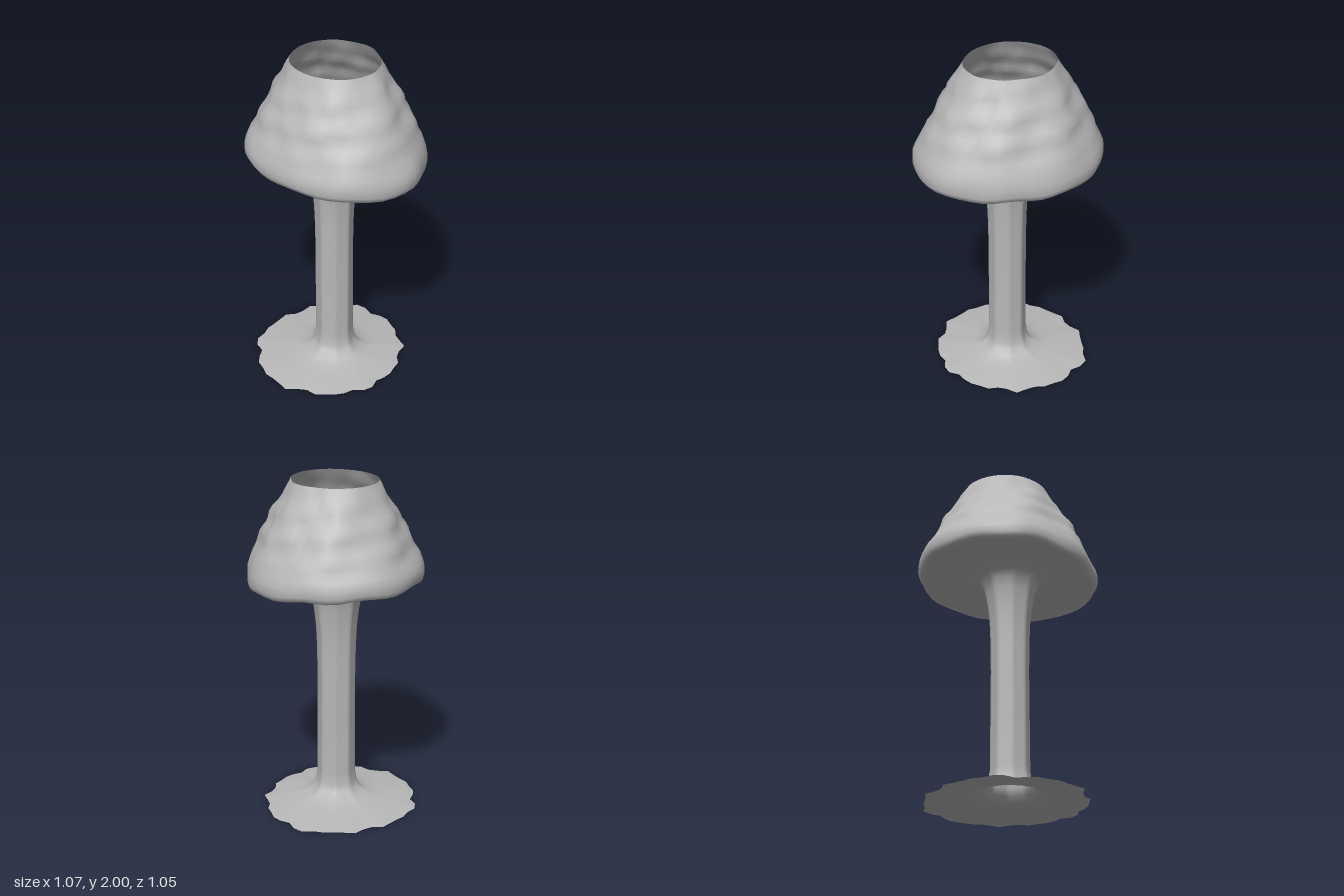
import * as THREE from 'three';

const SIDES = 48;

// Radii every 30 degrees, from +x towards +z
const RIM = [0.525, 0.585, 0.575, 0.525, 0.515, 0.535, 0.53, 0.545, 0.53, 0.52, 0.51, 0.49];
const OPENING = [0.25, 0.27, 0.275, 0.265, 0.265, 0.27, 0.27, 0.27, 0.26, 0.24, 0.24, 0.23];
const FOOT = [0.43, 0.44, 0.45, 0.455, 0.48, 0.46, 0.47, 0.45, 0.46, 0.48, 0.46, 0.44];

const STEM_X = -0.012;
const STEM_Z = 0.032;

// Smooth periodic lookup in a table of radii
function radiusAt(table, angle) {
  const f = (angle / (2 * Math.PI)) * table.length;
  const i = Math.floor(f) % table.length;
  const t = f - Math.floor(f);
  const s = t * t * (3 - 2 * t);
  return THREE.MathUtils.lerp(table[i], table[(i + 1) % table.length], s);
}

// Factor that turns a circle into an octagon with flats facing x and z
function octagon(angle) {
  const step = Math.PI / 4;
  const a = ((angle + step / 2) % step) - step / 2;
  return 1 / Math.cos(a);
}

// Skin closed rings of points, each given by pointAt(ring, angle)
function loft(rings, pointAt) {
  const positions = [];
  const index = [];
  rings.forEach((ring, i) => {
    for (let j = 0; j < SIDES; j++) {
      positions.push(...pointAt(ring, (j / SIDES) * 2 * Math.PI));
      if (i === rings.length - 1) continue;
      const a = i * SIDES + j;
      const b = i * SIDES + ((j + 1) % SIDES);
      index.push(a, a + SIDES, b, b, a + SIDES, b + SIDES);
    }
  });
  const geometry = new THREE.BufferGeometry();
  geometry.setAttribute('position', new THREE.Float32BufferAttribute(positions, 3));
  geometry.setIndex(index);
  geometry.computeVertexNormals();
  return geometry;
}

// Point on the shade: w = 0 at the top opening, 1 at the widest rim
function shadePoint([y, w], angle) {
  const c = Math.cos(angle);
  const s = Math.sin(angle);
  const fade = w * (1 - w) * 4;
  const bumps = 0.009 * Math.sin(7 * angle + 9 * y) + 0.007 * Math.sin(13 * angle - 25 * y)
    + 0.006 * Math.sin(46 * y + 2 * angle);
  const r = THREE.MathUtils.lerp(radiusAt(OPENING, angle), radiusAt(RIM, angle), w) + bumps * fade;
  const droop = 1 - THREE.MathUtils.smoothstep(y, 1.4, 1.65);
  const ripple = 0.007 * Math.sin(9 * angle + 1);
  return [r * c, y - (0.026 * c + ripple) * droop, r * s];
}

// Point on the foot, stem and flare; 'foot' blends to the ragged outline
function standPoint([y, r, foot = 0], angle) {
  const ragged = 0.012 * Math.sin(11 * angle) + 0.011 * Math.sin(17 * angle + 2);
  const edge = radiusAt(FOOT, angle) + ragged;
  const stem = r * THREE.MathUtils.lerp(octagon(angle), 1, foot);
  const radius = THREE.MathUtils.lerp(stem, edge, foot);
  const x = STEM_X - 0.022 * foot;
  return [x + radius * Math.cos(angle), y, STEM_Z - 0.01 * foot + radius * Math.sin(angle)];
}

export function createModel() {
  const model = new THREE.Group();
  model.name = 'tableLamp';
  const grey = new THREE.MeshStandardMaterial({ color: 0xb8b8b8, side: THREE.DoubleSide });
  grey.name = 'grey';

  function add(name, geometry) {
    const mesh = new THREE.Mesh(geometry, grey);
    mesh.name = name;
    model.add(mesh);
  }

  // Thin ragged foot, hollow stem and flared neck in one skin: [height, radius, foot blend]
  const stand = [
    [0.002, 0.14, 1], [0.014, 0.14, 0.78], [0.025, 0.14, 0.5], [0.038, 0.14, 0.25],
    [0.06, 0.145, 0.06], [0.09, 0.128], [0.13, 0.115], [0.2, 0.106], [0.5, 0.105],
    [0.8, 0.104], [1.0, 0.107], [1.12, 0.112], [1.22, 0.122], [1.3, 0.135],
    [1.36, 0.152], [1.395, 0.178],
  ];

  // Nearly flat underside runs from the neck out to the bottom edge of the shade
  const bottomEdge = [1.405, 0.86];
  const neck = stand[stand.length - 1];
  const underside = [0.2, 0.5, 0.8, 1].map((t) => ({ t }));
  add('standAndUnderside', loft([...stand, ...underside], (ring, angle) => {
    if (Array.isArray(ring)) return standPoint(ring, angle);
    const inner = standPoint(neck, angle);
    const outer = shadePoint(bottomEdge, angle);
    const p = inner.map((v, k) => THREE.MathUtils.lerp(v, outer[k], ring.t));
    p[1] += 0.02 * Math.sin(Math.PI * ring.t);
    return p;
  }));

  // Lumpy shade with a rounded rim and an open top: [height, width blend]
  const shade = [bottomEdge, [1.412, 0.95], [1.44, 1], [1.49, 0.99], [1.53, 0.93], [1.57, 0.86]];
  const slope = [[1.6, 0.8], [1.7, 0.62], [1.8, 0.42], [1.9, 0.2], [2, 0]];
  for (let i = 0; i < slope.length - 1; i++) {
    for (let k = 0; k < 3; k++) {
      shade.push(slope[i].map((v, n) => THREE.MathUtils.lerp(v, slope[i + 1][n], k / 3)));
    }
  }
  shade.push([2, 0]);
  add('shade', loft(shade, shadePoint));

  return model;
}
